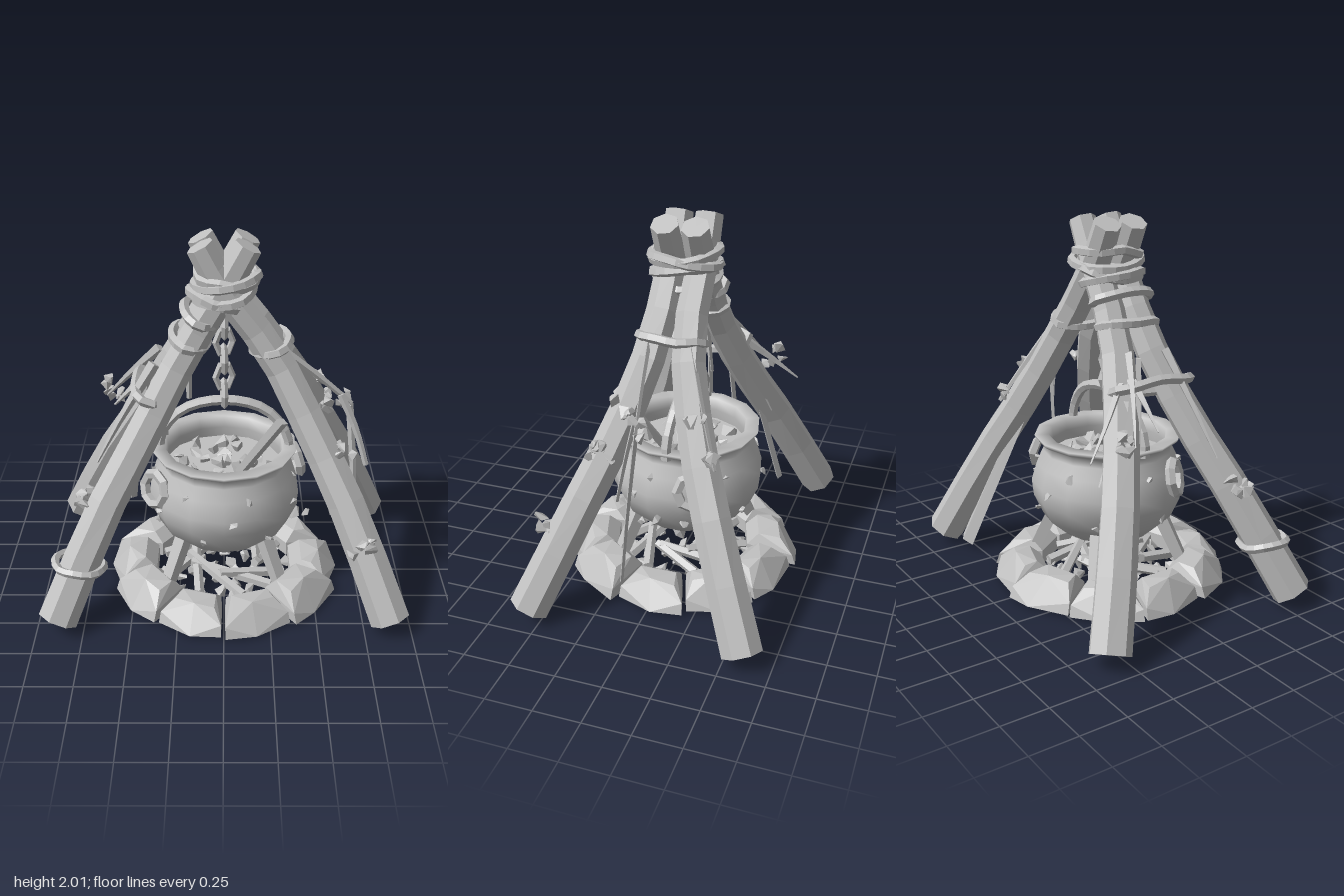
import * as THREE from 'three';
import { ConvexGeometry } from 'three/addons/geometries/ConvexGeometry.js';

const V = (x, y, z) => new THREE.Vector3(x, y, z);

export function createModel() {
  const root = new THREE.Group();
  const grey = new THREE.MeshStandardMaterial({ name: 'clay grey', color: 0xc0c0c0, flatShading: true });
  const smoothGrey = new THREE.MeshStandardMaterial({ name: 'smooth clay grey', color: 0xc0c0c0, side: THREE.DoubleSide });

  let seed = 7;
  const rnd = (a = 0, b = 1) => {
    seed = (seed * 16807) % 2147483647;
    return a + (b - a) * seed / 2147483647;
  };
  const add = (name, geometry, material = grey, parent = root) => {
    const mesh = new THREE.Mesh(geometry, material);
    mesh.name = name;
    parent.add(mesh);
    return mesh;
  };
  const group = (name) => {
    const g = new THREE.Group();
    g.name = name;
    root.add(g);
    return g;
  };

  // Capped, tapered cylinder bent along a curve
  function sweep(curve, r0, r1, sides, segs, flat = 1) {
    const g = new THREE.CylinderGeometry(1, 1, 1, sides, segs);
    const p = g.attributes.position;
    for (let i = 0; i < p.count; i++) {
      const t = THREE.MathUtils.clamp(p.getY(i) + 0.5, 0, 1);
      const c = curve.getPoint(t), d = curve.getTangent(t);
      const u = V(0, 0, 1).cross(d).normalize();
      const w = u.clone().cross(d);
      const r = r0 + (r1 - r0) * t;
      c.addScaledVector(u, p.getX(i) * r).addScaledVector(w, p.getZ(i) * r * flat);
      p.setXYZ(i, c.x, c.y, c.z);
    }
    g.computeVertexNormals();
    return g;
  }
  const curveOf = (pts) => new THREE.CatmullRomCurve3(pts.map((a) => V(...a)));

  // Closed rope loop around an axis, slightly uneven
  function loop(name, center, axis, ru, rv, thick, parent) {
    const d = axis.clone().normalize();
    const u = V(0, 0, 1).cross(d).normalize(), w = u.clone().cross(d);
    const pts = [];
    for (let i = 0; i < 9; i++) {
      const a = i / 9 * Math.PI * 2, k = rnd(0.95, 1.07);
      pts.push(center.clone().addScaledVector(u, Math.cos(a) * ru * k)
        .addScaledVector(w, Math.sin(a) * rv * k).addScaledVector(d, rnd(-0.012, 0.012)));
    }
    const c = new THREE.CatmullRomCurve3(pts, true);
    return add(name, new THREE.TubeGeometry(c, 18, thick, 5, true), grey, parent);
  }

  // Small angular lump
  function chunk(name, x, y, z, s, parent) {
    const pts = [];
    for (let i = 0; i < 9; i++) {
      pts.push(V(rnd(-1, 1), rnd(-1, 1), rnd(-1, 1)).normalize().multiplyScalar(s * rnd(0.8, 1.1)));
    }
    add(name, new ConvexGeometry(pts), grey, parent).position.set(x, y, z);
  }

  // Four crossing logs that splay towards the ground
  const logs = group('logs');
  const legCurve = (sx, sz) => {
    const b = sx > 0 ? 0.05 : 0;
    return curveOf([[0.885, 0.062, 0.58], [0.64 + b / 2, 0.6, 0.36], [0.415 + b, 1, 0.2], [0.2 + b, 1.4, 0.09],
      [0, 1.74, 0.08], [-0.12, 1.965, 0.08]].map(([x, y, z]) => [x * sx, y, z * sz - 0.02]));
  };
  for (const sx of [-1, 1]) for (const sz of [-1, 1]) {
    add('log', sweep(legCurve(sx, sz), 0.108, 0.073, 7, 9), grey, logs);
  }
  // Split plank leaning against the back log
  const plank = new THREE.LineCurve3(V(0.72, 0.03, -0.54), V(0.47, 1, -0.21));
  add('leaningPlank', sweep(plank, 0.06, 0.05, 4, 1, 0.6), grey, logs);

  // Rope bindings: centre, axis tilt, half widths
  const ropes = group('ropes');
  for (const [x, y, tx, tz, ru, rv] of [
    [0.01, 1.8, 0.12, 0.1, 0.155, 0.17], [0.01, 1.76, -0.15, -0.12, 0.16, 0.18],
    [0, 1.71, -0.22, 0.14, 0.15, 0.17], [-0.03, 1.67, 0.3, -0.05, 0.15, 0.16],
    [-0.12, 1.58, 0.55, 0, 0.09, 0.17], [-0.18, 1.45, 0.35, 0, 0.09, 0.17],
    [0.25, 1.41, -0.25, 0, 0.1, 0.17], [-0.39, 1.17, 0.6, 0, 0.085, 0.25],
  ]) loop('ropeBinding', V(x, y, -0.015), V(tx, 1, tz), ru, rv, 0.027, ropes);
  const frontLeft = legCurve(-1, 1);
  loop('legRope', frontLeft.getPoint(0.1), V(0.15, 1, -0.1), 0.125, 0.115, 0.023, ropes);

  // Cauldron with a thick rim and hollow top
  const pot = group('cauldron');
  pot.position.z = -0.02;
  const profile = [[0, 0.22], [0.14, 0.225], [0.26, 0.27], [0.36, 0.36], [0.41, 0.47], [0.42, 0.56],
    [0.39, 0.66], [0.355, 0.73], [0.35, 0.77], [0.39, 0.795], [0.4, 0.815], [0.325, 0.815], [0.315, 0.75], [0.33, 0.66]];
  add('potBody', new THREE.LatheGeometry(profile.map(([r, y]) => new THREE.Vector2(r, y)), 14), smoothGrey, pot);
  const stew = add('stew', new THREE.CylinderGeometry(0.335, 0.335, 0.02, 14), grey, pot);
  stew.position.y = 0.68;
  for (let i = 0; i < 26; i++) {
    const a = i * 2.4, r = 0.27 * Math.sqrt(i / 26);
    chunk('stewChunk', r * Math.cos(a), 0.7, r * Math.sin(a), rnd(0.035, 0.06), pot);
  }
  // Rivets and chips on the belly
  for (let i = 0; i < 18; i++) {
    const a = i * 0.349 + rnd(0, 0.2), y = [0.66, 0.54, 0.4][i % 3];
    const r = [0.388, 0.416, 0.38][i % 3];
    chunk('rivet', r * Math.cos(a), y, r * Math.sin(a), rnd(0.02, 0.032), pot);
  }
  // Splayed feet
  for (const sx of [-1, 1]) for (const sz of [-1, 1]) {
    const c = new THREE.LineCurve3(V(sx * 0.33, 0.03, sz * 0.31), V(sx * 0.21, 0.37, sz * 0.2));
    add('potFoot', sweep(c, 0.04, 0.05, 4, 1), grey, pot);
  }
  // Arched handle
  const arch = curveOf([[-0.35, 0.77, 0], [-0.34, 0.88, 0], [-0.22, 1.02, -0.01], [0, 1.075, -0.01],
    [0.22, 1.02, -0.01], [0.34, 0.88, 0], [0.36, 0.77, 0]]);
  add('handle', new THREE.TubeGeometry(arch, 16, 0.028, 6), grey, pot);
  // Rings hanging flat against the belly: position and turn
  for (const [x, z, turn] of [[-0.375, 0.18, -0.85], [0.405, -0.17, 1.85]]) {
    const ring = add('sideRing', new THREE.TorusGeometry(0.088, 0.029, 5, 8), grey, pot);
    ring.position.set(x, 0.63, z);
    ring.rotation.set(-0.2, turn, 0, 'YXZ');
  }
  const ladle = new THREE.LineCurve3(V(0.08, 0.68, 0.1), V(0.3, 1.1, 0.29));
  add('ladle', sweep(ladle, 0.03, 0.032, 4, 1, 0.7), grey, pot);

  // Hanging chain
  const chain = group('chain');
  for (let i = 0; i < 6; i++) {
    const link = add('chainLink', new THREE.TorusGeometry(0.046, 0.019, 5, 6), grey, chain);
    link.scale.y = 1.45;
    link.position.set(0, 1.12 + i * 0.1, -0.02);
    link.rotation.y = i % 2 ? 0.25 : Math.PI / 2 + 0.1;
  }

  // Ring of uneven wedge-shaped hearth stones
  const hearth = group('hearth');
  for (let i = 0; i < 10; i++) {
    const mid = (i + 0.5) * Math.PI / 5 + Math.PI / 2, half = rnd(0.29, 0.31);
    const ri = 0.37 + rnd(0, 0.03), h = rnd(0.125, 0.15);
    const P = (r, k, y) => V(r * Math.cos(mid + k * half), y, r * Math.sin(mid + k * half));
    const pts = [P(0.65, rnd(-0.3, 0.3), 0), P(0.54, rnd(-0.2, 0.2), h + 0.01)];
    for (const k of [-1, 1]) {
      const ro = rnd(0.6, 0.67);
      pts.push(P(ri, k, 0), P(ro, k, 0), P(ro - 0.02, k, 0.06), P(ri, k * 0.95, 0.08),
        P(ri + 0.06, k * 0.75, h), P(ro - 0.1, k * 0.75, h - 0.01));
    }
    add('hearthStone', new ConvexGeometry(pts), grey, hearth);
  }
  // Coals and kindling under the pot
  for (let i = 0; i < 38; i++) {
    const a = i * 2.4, r = 0.37 * Math.sqrt((i + 0.5) / 38);
    chunk('coal', r * Math.cos(a), 0.035, r * Math.sin(a), rnd(0.032, 0.048), hearth);
  }
  for (let i = 0; i < 10; i++) {
    const a = i * 0.63 + rnd(0, 0.3), b = a + rnd(1, 2);
    const c = new THREE.LineCurve3(V(0.35 * Math.cos(a), 0.05, 0.35 * Math.sin(a)),
      V(0.2 * Math.cos(b), rnd(0.09, 0.12), 0.2 * Math.sin(b)));
    add('kindling', sweep(c, 0.03, 0.026, 5, 1), grey, hearth);
  }

  // Slightly bowed strip from its hanging tip up to its tied end
  const strips = group('strips');
  const strip = (name, tip, top, r0, r1) => {
    const a = V(...tip), b = V(...top), m = a.clone().lerp(b, 0.5);
    m.x *= 1.02;
    add(name, sweep(new THREE.CatmullRomCurve3([a, m, b]), r0, r1, 4, 5, 0.6), grey, strips);
  };
  // Pointed leaves on the left logs
  for (const [tip, top] of [
    [[-0.67, 0.82, 0.2], [-0.36, 1.34, 0.09]], [[-0.57, 0.9, -0.5], [-0.38, 1.2, -0.2]],
    [[-0.66, 0.97, -0.3], [-0.34, 1.34, -0.12]], [[-0.6, 1, -0.12], [-0.38, 1.2, -0.12]],
    [[-0.46, 0.72, -0.38], [-0.38, 1.22, -0.15]],
  ]) strip('leaf', tip, top, 0.006, 0.034);
  // Long wooden slats
  strip('slat', [-0.56, 0.23, -0.42], [-0.43, 1.13, -0.2], 0.032, 0.028);
  strip('slat', [-0.33, 0.85, -0.05], [-0.31, 1.3, -0.04], 0.024, 0.024);
  strip('slat', [-0.47, 0.66, -0.16], [-0.41, 1.17, -0.12], 0.022, 0.028);
  // Thin vines, mostly on the right logs
  for (const [tip, top] of [
    [[-0.19, 1.05, -0.1], [-0.18, 1.44, -0.06]], [[0.68, 1.08, 0.02], [0.3, 1.42, 0.08]],
    [[0.72, 0.22, 0.1], [0.67, 1.08, 0.02]], [[0.6, 0.9, 0.22], [0.3, 1.4, 0.12]],
    [[0.77, 0.74, 0.09], [0.62, 1.14, 0.04]], [[0.6, 0.9, -0.36], [0.3, 1.42, -0.14]],
  ]) strip('vine', tip, top, 0.015, 0.021);

  // Clusters of small lumps growing on logs and vines
  const growths = group('growths');
  for (const [x, y, z, n] of [[0.72, 0.49, 0.5, 6], [0.62, 0.89, 0.24, 6], [0.67, 1.08, 0.02, 4],
    [0.53, 1.11, 0.16, 4], [-0.73, 0.66, 0.32, 6], [-0.62, 0.98, -0.33, 6], [0.41, 0.39, 0.03, 2],
    [0.52, 1.1, -0.23, 3], [0.58, 0.97, -0.36, 3]]) {
    for (let i = 0; i < n; i++) {
      chunk('growth', x + rnd(-0.05, 0.05), y + rnd(-0.06, 0.06), z + rnd(-0.05, 0.05), rnd(0.03, 0.045), growths);
    }
  }
  return root;
}
